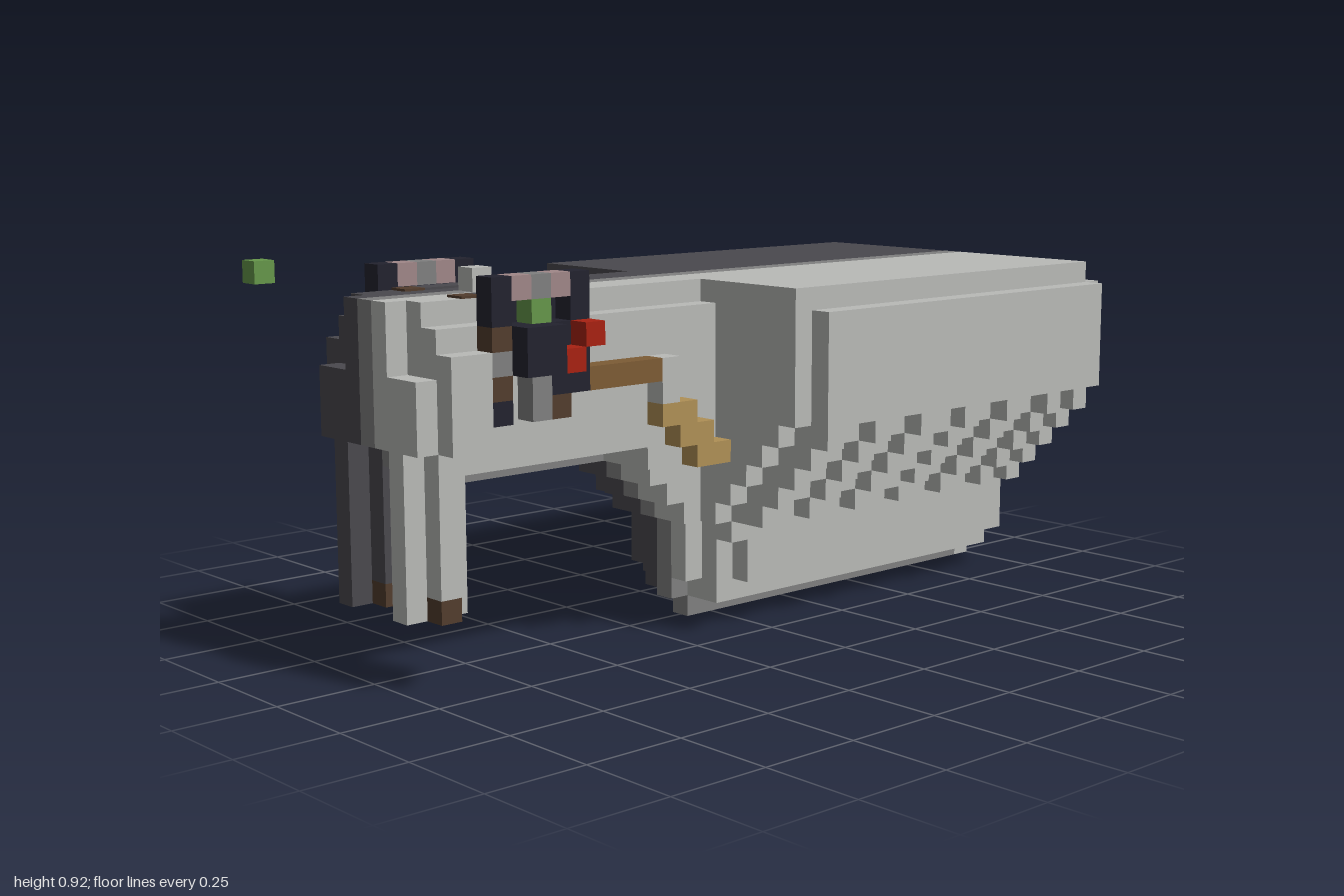
import * as THREE from 'three';

const U = 2 / 37; // size of one cube
const mat = (name, color) => {
  const m = new THREE.MeshStandardMaterial({ color });
  m.name = name;
  return m;
};
const M = {
  light: mat('lightGrey', 0xb9bab7),
  mid: mat('midGrey', 0x808080),
  dark: mat('charcoal', 0x4a494e),
  black: mat('inkBlack', 0x23232f),
  green: mat('leafGreen', 0x66974a),
  red: mat('red', 0xa82212),
  pink: mat('dustyPink', 0xa08788),
  brown: mat('darkBrown', 0x523d2d),
  wood: mat('wood', 0x7d5c35),
  tan: mat('tan', 0xb09056),
};

export function createModel() {
  const model = new THREE.Group();
  model.name = 'blockModel';
  let part;
  const begin = (name) => {
    part = new THREE.Group();
    part.name = name;
    model.add(part);
  };

  // Box in cube units: x counts from the -x end, y from the ground, z from the centre
  const box = (name, material, x0, x1, y0, y1, z0, z1) => {
    const m = new THREE.Mesh(new THREE.BoxGeometry((x1 - x0) * U, (y1 - y0) * U, (z1 - z0) * U), material);
    m.position.set(((x0 + x1) / 2) * U - 1, ((y0 + y1) / 2) * U, ((z0 + z1) / 2) * U);
    m.name = name;
    part.add(m);
  };
  // One coloured half: light at the front, dark at the back
  const half = (name, side, x0, x1, y0, y1, w, from = 0.5) =>
    side > 0
      ? box(name + 'Front', M.light, x0, x1, y0, y1, from, w)
      : box(name + 'Back', M.dark, x0, x1, y0, y1, -w, -from);
  // Full slab: grey middle slice plus both halves
  const slab = (name, x0, x1, y0, y1, w) => {
    box(name + 'Middle', M.mid, x0, x1, y0, y1, -0.5, 0.5);
    if (w > 0.5) for (const s of [1, -1]) half(name, s, x0, x1, y0, y1, w);
  };

  // Hull: keel, lower block and bevelled upper block
  begin('hull');
  slab('keel', 17, 36, 0, 1, 0.5);
  box('keelTip', M.light, 36, 37, 0, 1, -0.5, 0.5);
  slab('keelBase', 17, 36, 1, 2, 2.5);
  for (const x of [16, 36]) {
    slab('keelEnd', x, x + 1, 1, 2, 0.5);
    slab('lowerEnd', x, x + 1, 2, 5, 1.5);
    slab('upperEnd', x, x + 1, 10, 15, 8.5);
    for (let y = 5; y < 10; y++) slab('stepEnd', x, x + 1, y, y + 1, y - 1.5);
  }
  slab('lowerBlock', 17, 36, 2, 5, 2.5);
  half('lowerSkin', 1, 18, 36, 2, 4, 3.5, 2.5);
  half('lowerSkin', 1, 17, 36, 4, 5, 3.5, 2.5);
  half('lowerSkin', -1, 17, 36, 2, 3, 3.5, 2.5);
  for (const [a, b] of [[17, 19], [20, 22], [23, 25], [26, 36]]) half('lowerRib', -1, a, b, 3, 5, 3.5, 2.5);
  slab('upperBlock', 17, 36, 10, 15, 9.5);
  slab('topPlate', 16, 36, 15, 16, 8.5);

  // Stepped underside with a row of teeth on each step
  const frontTeeth = [[17, 18], [20, 21], [23, 25], [26, 27], [29, 30], [32, 33], [34, 35]];
  const backTeeth = [[17, 30], [31, 36]];
  for (let y = 5; y < 10; y++) {
    slab('step', 17, 36, y, y + 1, y - 0.5);
    for (const [a, b] of frontTeeth) half('tooth', 1, a, b, y, y + 1, y + 0.5, y - 0.5);
    for (const [a, b] of backTeeth) half('tooth', -1, a, b, y, y + 1, y + 0.5, y - 0.5);
  }

  // Neck with a diagonal stair under it
  begin('neck');
  slab('spine', 3, 12, 8, 9, 0.5);
  slab('neckBlock', 3, 16, 9, 15, 3.5);
  slab('neckTop', 1, 16, 15, 16, 2.5);
  slab('neckStair', 12, 16, 8, 9, 3.5);
  for (let n = 0; n < 3; n++) slab('neckStair', 13 + n, 16, 7 - n, 8 - n, 2.5);
  box('topKnob', M.light, 5, 6, 16, 17, -0.5, 0.5);

  // Side rails, bands and tan steps
  begin('sideRails');
  for (const s of [1, -1]) {
    const [z0, z1] = s > 0 ? [3.5, 4.5] : [-4.5, -3.5];
    box('rail', M.wood, 8, 12, 12, 13, z0, z1);
    half('band', s, 12, 13, 11, 13, 4.5, 3.5);
    for (let n = 0; n < 3; n++) box('tanStep', M.tan, 12 + n, 14 + n, 10 - n, 11 - n, z0, z1);
  }

  // Head
  begin('head');
  slab('headBlock', 1, 3, 9, 15, 3.5);
  slab('headFace', 0, 1, 10, 13, 3.5);
  slab('headBrow', 0, 1, 13, 16, 1.5);
  for (const s of [1, -1]) half('cheek', s, 1, 3, 10, 14, 4.5, 3.5);

  // Two plus-shaped legs with brown tips
  begin('legs');
  for (const s of [1, -1]) {
    const m = s > 0 ? M.light : M.dark;
    const z = 2 * s;
    box('legCore', m, 1, 2, 4, 9, z - 1.5, z + 1.5);
    box('legTip', M.brown, 1, 2, 3, 4, z - 1.5, z + 1.5);
    for (const x of [0, 2]) box('legArm', m, x, x + 1, 3, 10, z - 0.5, z + 0.5);
  }

  // Side emblems, the rear one turned half round; rows run from top to bottom
  const key = { k: M.black, p: M.pink, g: M.green, r: M.red, b: M.brown, m: M.mid };
  const layers = [
    { z: 3.5, rows: ['kpmpk', 'k.g.k', 'bkkkk', 'mkkkk', 'b.mkk', 'k.mb.'] },
    { z: 4.5, rows: ['.....', '.....', '.kk.r', '.kkr.'] },
  ];
  for (const s of [1, -1]) {
    begin(s > 0 ? 'frontEmblem' : 'backEmblem');
    for (const { z, rows } of layers)
      rows.forEach((row, r) =>
        [...row].forEach((c, n) => {
          if (!key[c]) return;
          const x = s > 0 ? 3 + n : 7 - n;
          const zc = s * (z + 0.5);
          box('emblemBlock', key[c], x, x + 1, 16 - r, 17 - r, zc - 0.5, zc + 0.5);
        }));
    // Small brown and dark inlays on the top of the neck
    for (const x of [3, 7]) box('topInlay', M.brown, x, x + 1, 16, 16.1, s * 2 - 0.5, s * 2 + 0.5);
    box('topPanel', M.dark, 4, 7, 16, 16.1, s * 2 - 0.5, s * 2 + 0.5);
    box('emblemMount', M.black, 4, 7, 15, 16, s * 3 - 0.5, s * 3 + 0.5);
  }

  // Separate floating cube
  begin('floatingCube');
  box('cube', M.green, 0, 1, 16, 17, -9.5, -8.5);

  return model;
}
